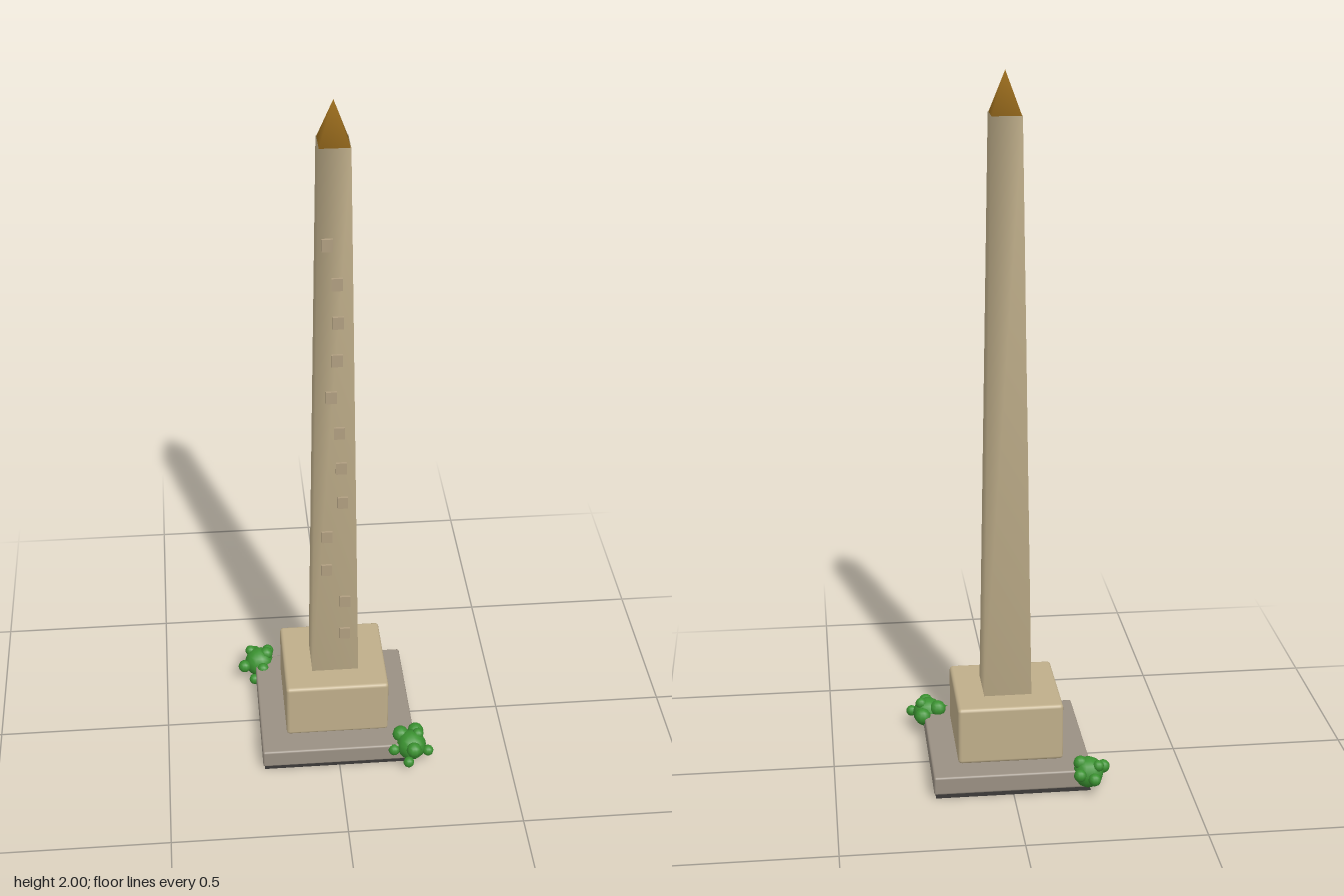
import * as THREE from 'three';
import { mergeVertices } from 'three/addons/utils/BufferGeometryUtils.js';
import { RoundedBoxGeometry } from 'three/addons/geometries/RoundedBoxGeometry.js';

const paint = (name, color) => Object.assign(new THREE.MeshStandardMaterial({ color }), { name });

// Square tapered column with normals shared across its corners and caps
function squareColumn(halfTop, halfBottom, y0, y1) {
  const g = new THREE.CylinderGeometry(halfTop * Math.SQRT2, halfBottom * Math.SQRT2, y1 - y0, 4);
  g.rotateY(Math.PI / 4);
  g.translate(0, (y0 + y1) / 2, 0);
  g.deleteAttribute('normal');
  g.deleteAttribute('uv');
  const merged = mergeVertices(g, 1e-4);
  merged.computeVertexNormals();
  return merged;
}

export function createModel() {
  const model = new THREE.Group();
  model.name = 'obelisk';

  const sandstone = paint('sandstone', 0xbfae8a);
  const stone = paint('grey stone', 0x9a9083);
  const carving = paint('carved stone', 0xb09e80);
  const gold = paint('dark gold', 0x96691c);
  const leaf = paint('leaf green', 0x3a9130);
  const dark = paint('dark underside', 0x353332);
  dark.side = THREE.DoubleSide;

  const add = (parent, name, geometry, material, x = 0, y = 0, z = 0) => {
    const mesh = new THREE.Mesh(geometry, material);
    mesh.name = name;
    mesh.position.set(x, y, z);
    parent.add(mesh);
    return mesh;
  };

  // Stepped base
  add(model, 'underside', new THREE.PlaneGeometry(0.44, 0.44).rotateX(Math.PI / 2), dark);
  add(model, 'plinth', new RoundedBoxGeometry(0.45, 0.054, 0.45, 2, 0.006), stone, 0, 0.039, 0);
  add(model, 'pedestal', new RoundedBoxGeometry(0.3, 0.17, 0.3, 2, 0.01), sandstone, 0, 0.15, 0);

  // Shaft and pointed cap
  add(model, 'shaft', squareColumn(0.042, 0.068, 0.23, 1.885), sandstone);
  add(model, 'cap', squareColumn(0, 0.042, 1.88, 2), gold);

  // Column of carved tablets standing just off the front face
  const tablets = new THREE.Group();
  tablets.name = 'carvedTablets';
  model.add(tablets);
  const tabletGeometry = new THREE.BoxGeometry(0.03, 0.036, 0.007);
  const offsets = [-0.021, 0.005, 0.008, 0.005, -0.011, 0.011, 0.016, 0.02, -0.024, -0.026, 0.027, 0.027];
  offsets.forEach((x, i) => {
    add(tablets, 'tablet', tabletGeometry, carving, x, 1.624 - 0.113 * i, 0.058 + 0.0021 * i);
  });

  // Corner shrubs: a large ball with smaller tufts, each tuft [x, y, z, radius]
  const ball = new THREE.SphereGeometry(1, 10, 8);
  const shrub = (name, x, z, tufts) => {
    const group = new THREE.Group();
    group.name = name;
    group.position.set(x, 0.055, z);
    model.add(group);
    add(group, 'foliage', ball, leaf).scale.setScalar(0.044);
    tufts.forEach(([tx, ty, tz, r]) => add(group, 'tuft', ball, leaf, tx, ty, tz).scale.setScalar(r));
  };
  shrub('frontShrub', 0.212, 0.212, [
    [-0.029, 0.022, -0.025, 0.024], [0.018, 0.01, -0.049, 0.024], [-0.052, -0.005, 0.012, 0.017],
    [0.047, -0.005, 0.023, 0.016], [0.003, 0.015, 0.041, 0.022], [-0.012, -0.026, 0.046, 0.016],
    [0.02, 0.033, -0.009, 0.017],
  ]);
  shrub('backShrub', -0.213, -0.213, [
    [-0.011, 0.0, -0.049, 0.018], [0.029, 0.01, -0.039, 0.018], [-0.025, 0.028, -0.021, 0.016],
    [0.023, 0.03, 0, 0.02], [-0.046, 0.003, 0.024, 0.019], [0.01, 0.006, 0.045, 0.018],
    [-0.017, -0.026, 0.053, 0.016],
  ]);

  return model;
}
